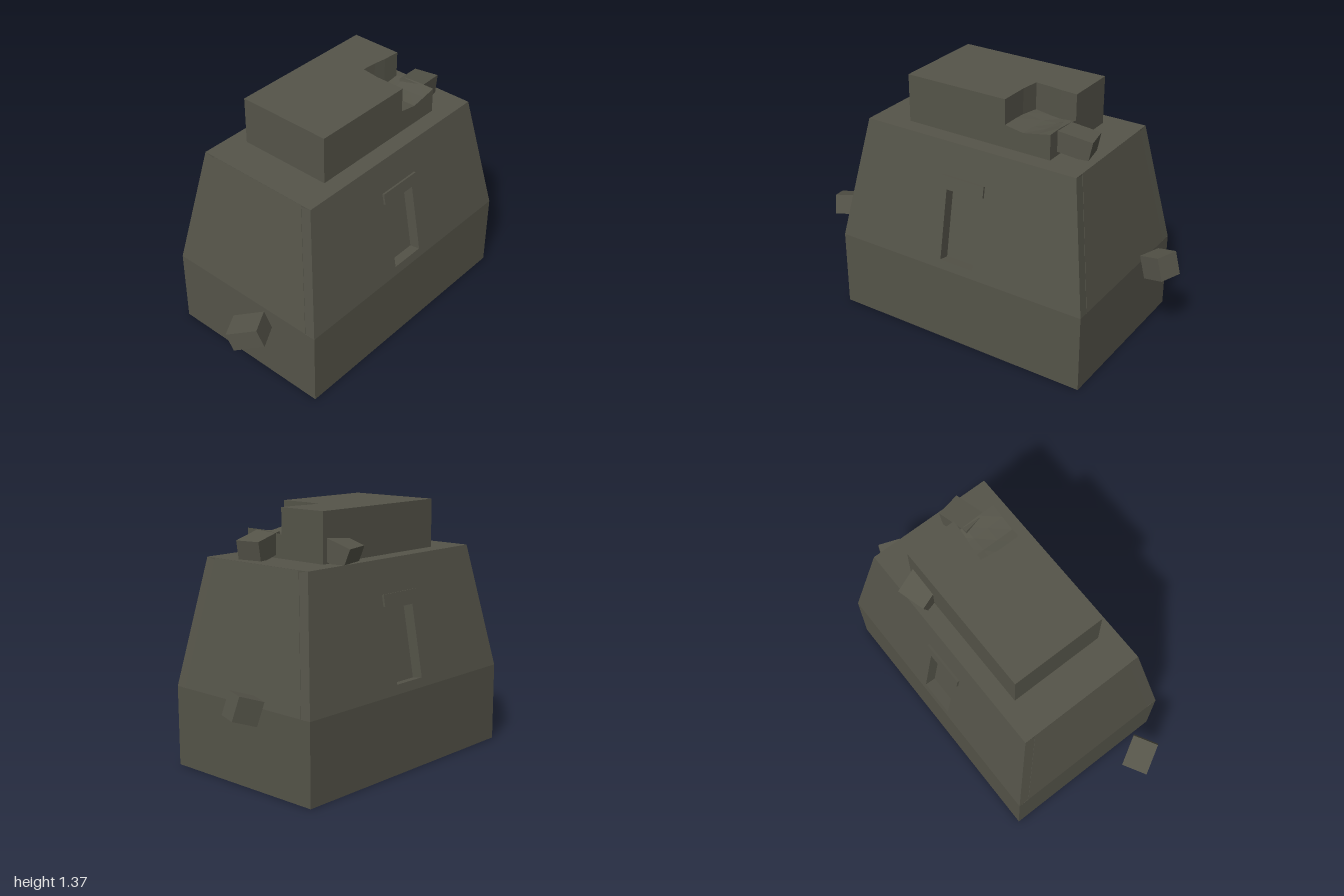
import * as THREE from 'three';

const stone = new THREE.MeshStandardMaterial({ color: 0x555449 });
stone.name = 'darkStone';

function add(parent, geometry, name) {
  const mesh = new THREE.Mesh(geometry, stone);
  mesh.name = name;
  parent.add(mesh);
  return mesh;
}

// Move every vertex of a geometry by a rule, then give it flat faces.
function reshape(geometry, rule) {
  const flat = geometry.toNonIndexed();
  const p = flat.attributes.position;
  const v = new THREE.Vector3();
  for (let i = 0; i < p.count; i++) {
    rule(v.fromBufferAttribute(p, i));
    p.setXYZ(i, v.x, v.y, v.z);
  }
  flat.computeVertexNormals();
  return flat;
}

function polygon(points) {
  return new THREE.Shape(points.map(([x, y]) => new THREE.Vector2(x, y)));
}

export function createModel() {
  const model = new THREE.Group();
  model.name = 'ruinedPedestal';

  const tower = new THREE.Group();
  tower.name = 'pedestal';
  tower.position.x = 0.04;
  model.add(tower);

  // Plinth
  const plinthH = 0.43, topY = 1.11;
  const bottomX = 0.745, bottomZ = 0.48, topX = 0.625, topZ = 0.357;
  add(tower, new THREE.BoxGeometry(bottomX * 2, plinthH, bottomZ * 2), 'plinth').position.y = plinthH / 2;

  // Tapered core, set back behind the front and back panels
  const rise = topY - plinthH;
  const tilt = Math.atan2(bottomZ - topZ, rise);
  const slope = Math.hypot(bottomZ - topZ, rise);
  const depth = 0.06;
  const inset = depth / Math.cos(tilt);
  add(tower, reshape(new THREE.BoxGeometry(2, 1, 2), (v) => {
    const up = v.y > 0;
    v.x *= up ? topX : bottomX;
    v.z *= (up ? topZ : bottomZ) - inset;
    v.y = up ? topY - 0.001 : plinthH;
  }), 'taperedCore');
  add(tower, new THREE.BoxGeometry(topX * 2, 0.02, topZ * 2), 'topCap').position.y = topY - 0.01;

  // Sloping panels with a niche and a lintel, front and back
  for (const [name, turn] of [['front', 0], ['back', Math.PI]]) {
    const side = new THREE.Group();
    side.name = name + 'Side';
    side.rotation.y = turn;
    tower.add(side);

    const panel = new THREE.Group();
    panel.name = name + 'Panel';
    panel.position.set(0, plinthH, bottomZ);
    panel.rotation.x = -tilt;
    side.add(panel);

    const outline = polygon([[-bottomX, 0], [bottomX, 0], [topX, slope], [-topX, slope]]);
    outline.holes.push(polygon([[-0.1, 0.05], [-0.1, 0.437], [0.1, 0.437], [0.1, 0.05]]));
    const wall = new THREE.ExtrudeGeometry(outline, { depth, bevelEnabled: false });
    add(panel, wall.translate(0, 0, -depth), name + 'NicheWall');
    add(panel, new THREE.BoxGeometry(0.255, 0.061, 0.03), name + 'Lintel').position.set(0, 0.483, -0.003);
  }

  // Top slab with one corner broken away
  const slab = polygon([
    [-0.385, -0.265], [0.205, -0.265], [0.205, -0.1], [0.218, 0.002], [0.3, -0.004],
    [0.37, -0.014], [0.465, -0.02], [0.465, 0.265], [-0.385, 0.265],
  ]);
  const slabGeo = new THREE.ExtrudeGeometry(slab, { depth: 0.26, bevelEnabled: false });
  add(model, slabGeo.rotateX(-Math.PI / 2).translate(0, topY, 0), 'topSlab');

  // Uneven floor of the broken corner, rows running from back to front
  const xs = [0.2, 0.31, 0.39, 0.465];
  const zs = [-0.01, 0.08, 0.17, 0.265];
  const heights = [
    [1.225, 1.215, 1.215, 1.226],
    [1.23, 1.215, 1.22, 1.24],
    [1.235, 1.215, 1.225, 1.247],
    [1.235, 1.217, 1.232, 1.247],
  ];
  add(model, reshape(new THREE.BoxGeometry(3, 1, 3, 3, 1, 3), (v) => {
    const i = Math.round(v.x + 1.5), j = Math.round(v.z + 1.5);
    v.set(xs[i], v.y > 0 ? heights[j][i] : topY, zs[j]);
  }), 'brokenCorner');

  // Loose rubble: name, size, position, rotation
  const rubble = [
    ['slabSideRubble', [0.19, 0.11, 0.135], [0.527, 1.172, 0.117], [0, 0.2, -0.19]],
    ['slabBackRubble', [0.16, 0.11, 0.18], [0.354, 1.17, -0.265], [-0.36, 0.27, 0]],
    ['leftRubble', [0.135, 0.125, 0.13], [0.9, 0.455, -0.147], [0, -0.35, 0.33]],
    ['rightRubble', [0.14, 0.108, 0.17], [-0.888, 0.45, 0.209], [-0.35, 0.51, 0]],
  ];
  for (const [name, size, position, rotation] of rubble) {
    const block = add(model, new THREE.BoxGeometry(...size), name);
    block.position.set(...position);
    block.rotation.set(...rotation, 'YXZ');
  }

  return model;
}
